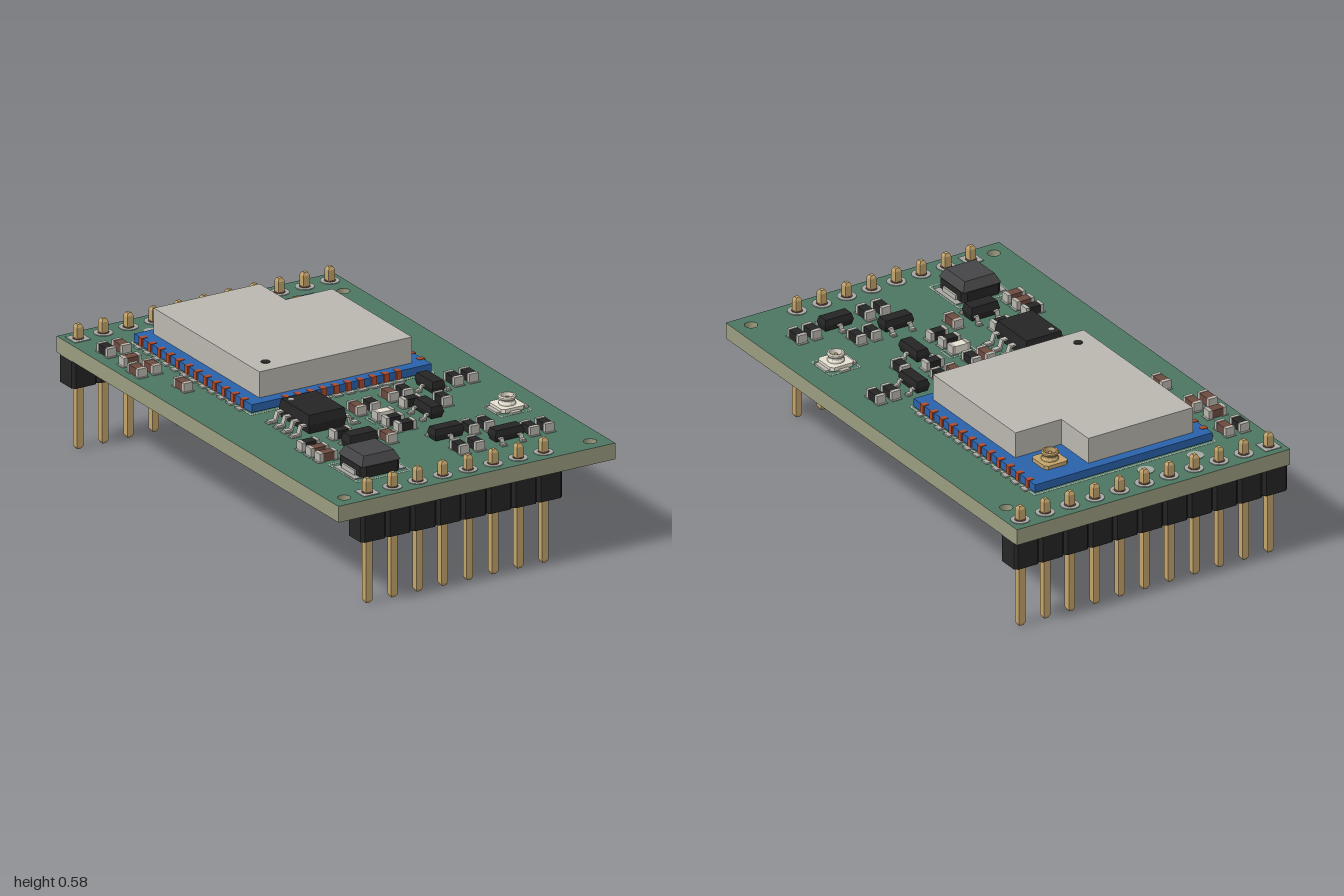
import * as THREE from 'three';

const T = 0.44; // top face of the board
const B = 0.375; // bottom face of the board
const mat = (color) => new THREE.MeshStandardMaterial({ color, flatShading: true });
const M = {
  green: mat(0x4b7661), edge: mat(0x9a9d80), black: mat(0x252525), dark: mat(0x454547),
  gold: mat(0xc2a36b), metal: mat(0xb9b7af), pad: mat(0xa5a8a4), blue: mat(0x2a62ab),
  copper: mat(0xb0492a), brown: mat(0x6b4a3f), white: mat(0xe4dfd0), silk: mat(0xb4c0b6),
};

function add(parent, name, geo, material, x = 0, y = 0, z = 0) {
  const m = new THREE.Mesh(geo, material);
  m.name = name;
  m.position.set(x, y, z);
  parent.add(m);
  return m;
}
// box whose y is the bottom face
const box = (p, name, material, w, h, d, x, y, z) =>
  add(p, name, new THREE.BoxGeometry(w, h, d), material, x, y + h / 2, z);
const disc = (p, name, material, r, h, x, y, z, n = 20) =>
  add(p, name, new THREE.CylinderGeometry(r, r, h, n), material, x, y + h / 2, z);
function group(parent, name, x = 0, y = 0, z = 0, turn = 0) {
  const g = new THREE.Group();
  g.name = name;
  g.position.set(x, y, z);
  g.rotation.y = turn;
  parent.add(g);
  return g;
}
const polygon = (pts) => new THREE.Shape(pts.map(([x, y]) => new THREE.Vector2(x, y)));
// plan outline (x, -z) raised upward
const raise = (shape, h) =>
  new THREE.ExtrudeGeometry(shape, { depth: h, bevelEnabled: false, curveSegments: 10 }).rotateX(-Math.PI / 2);
// square outline with cut corners
const cutRect = (w, d, c) => polygon([
  [-w + c, -d], [w - c, -d], [w, -d + c], [w, d - c], [w - c, d], [-w + c, d], [-w, d - c], [-w, -d + c]]);
// moulded package body, narrowing toward its top
function moulded(w, h, d, inset) {
  const g = new THREE.BoxGeometry(w, h, d, 1, 2, 1);
  const p = g.attributes.position;
  for (let i = 0; i < p.count; i++) {
    const y = p.getY(i);
    if (Math.abs(y) < 1e-6) continue;
    p.setX(i, p.getX(i) - Math.sign(p.getX(i)) * inset);
    p.setZ(i, p.getZ(i) - Math.sign(p.getZ(i)) * inset);
  }
  g.translate(0, h / 2, 0);
  g.computeVertexNormals();
  return g;
}
// hollow frame printed or soldered on the board
function frame(p, name, w, d, x, z, t = 0.006) {
  for (const s of [-1, 1]) {
    box(p, name, M.silk, w, 0.001, t, x, T, z + s * d / 2);
    box(p, name, M.silk, t, 0.001, d, x + s * w / 2, T, z);
  }
}

function pinHeader(root, name, count, x0, z) {
  const g = group(root, name);
  const w = 0.014 * Math.SQRT2;
  const profile = [[0, 0], [w * 0.55, 0], [w, 0.012], [w, 0.488], [w * 0.55, 0.5], [0, 0.5]]
    .map(([a, b]) => new THREE.Vector2(a, b));
  const pin = new THREE.LatheGeometry(profile, 4, Math.PI / 4);
  const shell = raise(cutRect(0.055, 0.053, 0.012), 0.11);
  for (let i = 0; i < count; i++) {
    const x = x0 + i * 0.11;
    add(g, 'headerBlock', shell, M.black, x, B - 0.11, z);
    add(g, 'pin', pin, M.gold, x, 0, z);
    if (i === 0) box(g, 'squarePad', M.pad, 0.07, 0.003, 0.07, x, T, z);
    else disc(g, 'roundPad', M.pad, 0.037, 0.003, x, T, z);
    disc(g, 'solderRing', M.brown, 0.022, 0.005, x, T, z, 12);
  }
}

// two-ended chip; lies along x unless turned
function chip(root, x, z, body, upright) {
  const g = group(root, 'chipPart', x, T, z, upright ? Math.PI / 2 : 0);
  for (const s of [-1, 1]) {
    box(g, 'solderPad', M.pad, 0.03, 0.003, 0.044, s * 0.032, 0, 0);
    box(g, 'endCap', M.metal, 0.014, 0.034, 0.04, s * 0.032, 0.002, 0);
  }
  box(g, 'chipBody', body, 0.052, 0.032, 0.038, 0, 0.002, 0);
}

// bent lead running out along +x
function lead(parent, len, width, rise, x, z, flip) {
  const t = 0.007;
  const s = polygon([[0, rise], [0, rise - t], [len * 0.35, rise - t], [len * 0.5, 0.003], [len, 0.003],
    [len, 0.003 + t], [len * 0.6, 0.003 + t], [len * 0.45, rise]]);
  const geo = new THREE.ExtrudeGeometry(s, { depth: width, bevelEnabled: false }).translate(0, 0, -width / 2);
  const m = add(parent, 'lead', geo, M.metal, x, 0, z);
  if (flip) m.rotation.y = Math.PI;
  const pad = len * 0.6;
  box(parent, 'leadPad', M.pad, pad, 0.003, width * 1.3, x + (flip ? -1 : 1) * len * 0.82, 0, z);
}

// package with leads on both x sides, given as lists of z positions
function package_(root, name, x, z, turn, [w, h, d], right, left, len, width) {
  const g = group(root, name, x, T, z, turn);
  add(g, 'packageBody', moulded(w, h, d, 0.006), M.black, 0, 0.006, 0);
  right.forEach((q) => lead(g, len, width, h * 0.55, w / 2 - 0.006, q, false));
  left.forEach((q) => lead(g, len, width, h * 0.55, -w / 2 + 0.006, q, true));
  return g;
}

function coaxSocket(root, name, x, y, z, material) {
  const g = group(root, name, x, y, z);
  add(g, 'socketBase', raise(cutRect(0.052, 0.052, 0.012), 0.016), material);
  const ring = [[0.014, 0.012], [0.033, 0.012], [0.033, 0.022], [0.029, 0.028], [0.029, 0.034], [0.034, 0.04],
    [0.034, 0.046], [0.03, 0.051], [0.024, 0.051], [0.022, 0.018], [0.0, 0.018]]
    .map(([a, b]) => new THREE.Vector2(a, b));
  add(g, 'socketRing', new THREE.LatheGeometry(ring, 24), material);
  disc(g, 'socketCentre', M.gold, 0.008, 0.03, 0, 0.012, 0, 10);
  return g;
}

export function createModel() {
  const root = new THREE.Group();
  root.name = 'circuitBoard';

  // board with mounting holes
  const plan = polygon([[-0.605, -1], [0.605, -1], [0.605, 1], [-0.605, 1]]);
  for (const [x, z] of [[0.54, -0.825], [-0.54, 0.935], [0.535, 0.935]])
    plan.holes.push(new THREE.Path().absarc(x, -z, 0.025, 0, Math.PI * 2, true));
  add(root, 'board', raise(plan, T - B), [M.green, M.edge], 0, B, 0);

  // pin headers
  pinHeader(root, 'backHeader', 11, -0.55, -0.937);
  pinHeader(root, 'frontHeader', 8, -0.44, 0.937);

  // test points and pads under the board
  for (const x of [-0.28, -0.06]) disc(root, 'testPoint', M.pad, 0.032, 0.002, x, T, -0.853);
  for (const [x, z0, n] of [[0.53, -0.72, 7], [0.53, 0.27, 5], [-0.5, -0.44, 5], [-0.5, 0.33, 4]])
    for (let i = 0; i < n; i++)
      box(root, 'undersidePad', M.dark, 0.1, 0.002, 0.06, x, B - 0.002, z0 + i * 0.1);

  // radio module: carrier, edge contacts, notched shield
  const radio = group(root, 'radioModule');
  box(radio, 'carrier', M.blue, 0.785, 0.032, 0.835, -0.003, 0.445, -0.373);
  const contact = (x, z, alongX) => {
    const [w, d] = alongX ? [0.044, 0.034] : [0.034, 0.044];
    box(radio, 'contactPad', M.pad, w, 0.006, d, x, T, z);
    box(radio, 'edgeContact', M.copper, w * 0.62, 0.034, d * 0.62,
      x - (alongX ? Math.sign(x) * 0.01 : 0), 0.445, z - (alongX ? 0 : 0.01));
  };
  for (let i = 0; i < 12; i++) for (const x of [-0.398, 0.392]) contact(x, -0.74 + i * 0.0655, true);
  for (let i = 0; i < 10; i++) contact(-0.245 + i * 0.0545, 0.047, false);
  const lid = polygon([[-0.335, 0], [0.332, 0], [0.332, 0.565], [0.128, 0.565], [0.128, 0.75], [-0.335, 0.75]]);
  add(radio, 'shield', raise(lid, 0.105), M.metal, 0, 0.476, 0);
  disc(radio, 'shieldDot', M.black, 0.018, 0.002, -0.262, 0.581, -0.075);
  coaxSocket(radio, 'moduleSocket', 0.242, 0.476, -0.663, M.gold);
  frame(root, 'moduleOutline', 0.8, 0.85, -0.003, -0.373);

  // antenna socket with side tabs
  const ant = coaxSocket(root, 'antennaSocket', 0.445, T + 0.004, 0.492, M.white);
  for (const s of [-1, 1]) {
    box(ant, 'sideTab', M.metal, 0.02, 0.008, 0.075, s * 0.06, -0.003, 0);
    box(ant, 'endTab', M.metal, 0.04, 0.008, 0.02, 0, -0.003, s * 0.06);
  }
  frame(root, 'antennaOutline', 0.13, 0.13, 0.445, 0.492, 0.005);

  // eight-lead chip, five-lead regulator and transistors
  const rows = [-0.083, -0.028, 0.028, 0.083];
  const big = package_(root, 'memoryChip', -0.248, 0.238, 0, [0.166, 0.074, 0.212], rows, rows, 0.066, 0.022);
  disc(big, 'chipDot', M.metal, 0.011, 0.002, -0.052, 0.08, -0.07, 14);
  package_(root, 'regulator', -0.222, 0.53, -Math.PI / 2, [0.066, 0.055, 0.125],
    [-0.044, 0, 0.044], [-0.044, 0.044], 0.036, 0.018);
  for (const [x, z, turn] of [[0.3, 0.18, 0], [0.163, 0.392, Math.PI], [0.095, 0.625, Math.PI / 2], [0.28, 0.752, -Math.PI / 2]])
    package_(root, 'transistor', x, z, turn, [0.058, 0.046, 0.127], [-0.042, 0.042], [0], 0.036, 0.018);

  // power inductor
  const coil = group(root, 'inductor', -0.303, T, 0.73);
  for (const s of [-1, 1]) {
    box(coil, 'inductorPad', M.pad, 0.05, 0.004, 0.15, s * 0.087, 0, 0);
    box(coil, 'inductorClip', M.metal, 0.012, 0.02, 0.09, s * 0.088, 0.003, 0);
  }
  add(coil, 'inductorBase', raise(cutRect(0.086, 0.089, 0.018), 0.042), M.black, 0, 0.004, 0);
  const top = new THREE.CylinderGeometry(0.066 * Math.SQRT2, 0.084 * Math.SQRT2, 0.036, 4, 1).rotateY(Math.PI / 4);
  add(coil, 'inductorTop', top, M.dark, 0, 0.064, 0);
  frame(root, 'inductorOutline', 0.23, 0.205, -0.303, 0.73);

  // resistors and capacitors: x, z, then 1 when lying along z
  const resistors = [[-0.54, -0.752, 1], [0.01, 0.233, 1], [0.185, 0.18, 1], [0.153, 0.28, 0], [0.268, 0.322, 1],
    [0.41, 0.17, 1], [0.475, 0.17, 1], [-0.235, 0.413, 0], [0, 0.402, 0], [0.01, 0.472, 0], [-0.398, 0.45, 0],
    [0.207, 0.614, 1], [0.274, 0.614, 1], [0.07, 0.764, 1], [0.138, 0.764, 1], [0.39, 0.742, 1], [0.455, 0.742, 1]];
  const capacitors = [[-0.475, -0.752, 1], [-0.518, -0.619, 0], [-0.55, -0.518, 1], [-0.485, -0.518, 1],
    [-0.48, -0.307, 1], [-0.053, 0.233, 1], [0.122, 0.18, 1], [-0.398, 0.514, 0], [-0.398, 0.577, 0], [-0.1, 0.53, 1]];
  resistors.forEach(([x, z, up]) => chip(root, x, z, M.black, up));
  capacitors.forEach(([x, z, up]) => chip(root, x, z, M.brown, up));

  // indicator light
  chip(root, 0, 0.337, M.white, 0);
  frame(root, 'lightOutline', 0.115, 0.06, 0, 0.337, 0.005);
  return root;
}
